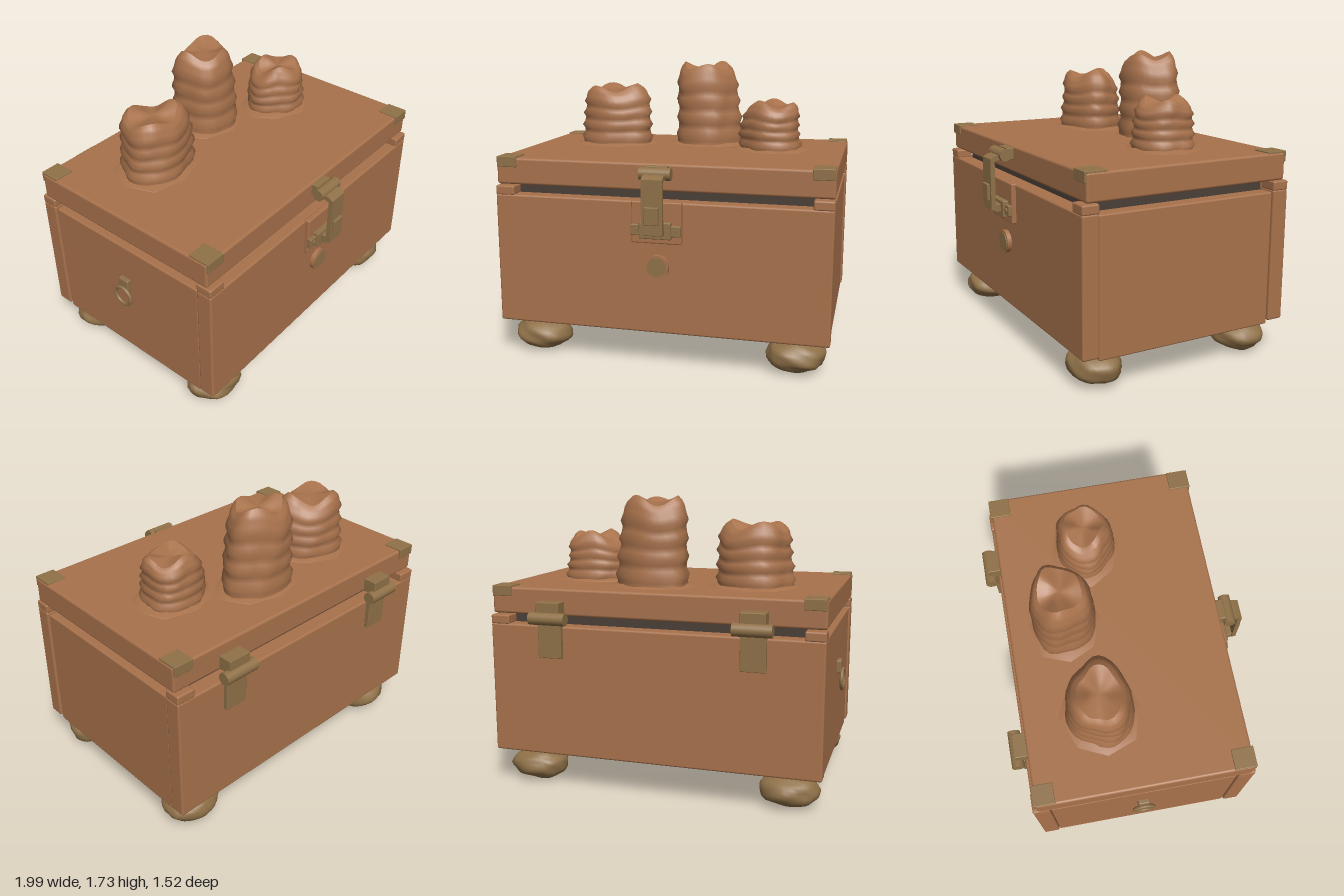
import * as THREE from 'three';
import { mergeVertices } from 'three/addons/utils/BufferGeometryUtils.js';
import { RoundedBoxGeometry } from 'three/addons/geometries/RoundedBoxGeometry.js';

const material = (name, color) => {
  const m = new THREE.MeshStandardMaterial({ color });
  m.name = name;
  return m;
};

// Moves every vertex by a rule, then welds seams so the shading stays smooth
function deform(geometry, rule) {
  geometry.deleteAttribute('uv');
  geometry.deleteAttribute('normal');
  const p = geometry.attributes.position, v = new THREE.Vector3();
  for (let i = 0; i < p.count; i++) {
    rule(v.fromBufferAttribute(p, i));
    p.setXYZ(i, v.x, v.y, v.z);
  }
  const welded = mergeVertices(geometry, 1e-4);
  welded.computeVertexNormals();
  return welded;
}

export function createModel() {
  const wood = material('wood', 0xa8724c);
  const brass = material('brass', 0x8f7148);
  const dark = material('dark interior', 0x4a3f37);
  const model = new THREE.Group();
  const CX = 0.015; // middle of the chest

  const add = (name, geometry, mat, x = 0, y = 0, z = 0, parent = model) => {
    const mesh = new THREE.Mesh(geometry, mat);
    mesh.name = name;
    mesh.position.set(x, y, z);
    parent.add(mesh);
    return mesh;
  };
  // Softly bevelled box given by its limits
  const box = (name, mat, x0, x1, y0, y1, z0, z1, r = 0.006, parent = model) =>
    add(name, new RoundedBoxGeometry(x1 - x0, y1 - y0, z1 - z0, 2, r), mat,
      (x0 + x1) / 2, (y0 + y1) / 2, (z0 + z1) / 2, parent);
  const barrel = (name, mat, r, length, x, y, z, axis, parent = model) => {
    const g = new THREE.CylinderGeometry(r, r, length, 24);
    if (axis === 'x') g.rotateZ(Math.PI / 2);
    if (axis === 'z') g.rotateX(Math.PI / 2);
    return add(name, g, mat, x, y, z, parent);
  };

  // Chest body
  box('frontPanel', wood, -0.965, 0.995, 0.22, 0.995, 0.53, 0.63, 0.012);
  box('backPanel', wood, -0.965, 0.995, 0.22, 0.995, -0.68, -0.58, 0.012);
  box('leftPanel', wood, 0.89, 0.985, 0.2, 0.985, -0.578, 0.528, 0.01);
  box('rightPanel', wood, -0.955, -0.86, 0.2, 0.985, -0.578, 0.528, 0.01);
  box('basePlate', wood, -0.88, 0.91, 0.183, 0.26, -0.578, 0.528, 0.01);
  box('darkRecess', dark, -0.87, 0.9, 0.9, 1.045, -0.565, 0.52);

  // Lid
  box('lid', wood, -0.965, 0.995, 1.05, 1.207, -0.65, 0.605, 0.015);

  for (const sx of [-1, 1]) {
    for (const front of [true, false]) {
      // Corner blocks under the lid
      const edge = CX + sx * 0.98, inner = CX + sx * 0.865;
      const [x0, x1] = [Math.min(edge, inner), Math.max(edge, inner)];
      box('cornerBlock', wood, x0, x1, 0.99, 1.045, front ? 0.53 : -0.68, front ? 0.63 : -0.58, 0.01);

      // Brass lid corners: a top plate and a lip folded over the edge
      const bx = CX + sx * 0.915;
      const z0 = front ? 0.485 : -0.66, z1 = front ? 0.614 : -0.535;
      box('lidCornerTop', brass, bx - 0.06, bx + 0.06, 1.2, 1.215, z0, z1, 0.004);
      box('lidCornerLip', brass, bx - 0.06, bx + 0.06, 1.153, 1.215,
        front ? 0.6 : -0.66, front ? 0.614 : -0.645, 0.004);

      // Pebble feet
      const seed = sx * 1.3 + (front ? 0 : 2.1);
      const foot = deform(new THREE.SphereGeometry(1, 28, 18), (v) => {
        const k = 1 + 0.045 * Math.sin(4 * v.x + seed) * Math.cos(5 * v.z - seed)
          + 0.03 * Math.sin(7 * v.y + 5 * v.x + seed) + 0.015 * Math.sin(11 * v.z + 9 * v.y);
        const flat = Math.sign(v.y) * Math.pow(Math.abs(v.y), 0.9);
        v.set(v.x * k * 0.172, flat * k * 0.094, v.z * k * 0.147);
      });
      add('foot', foot, brass, CX + sx * 0.778, 0.103, front ? 0.46 : -0.505);
    }

    // Back hinges
    const hinge = new THREE.Group();
    hinge.name = 'hinge';
    hinge.position.x = CX + sx * 0.595;
    model.add(hinge);
    barrel('hingeBarrel', brass, 0.037, 0.22, 0, 1.043, -0.722, 'x', hinge);
    box('hingeUpperLeaf', brass, -0.072, 0.072, 1.055, 1.137, -0.73, -0.645, 0.004, hinge);
    box('hingeLowerLeaf', brass, -0.072, 0.072, 0.81, 1.03, -0.706, -0.678, 0.004, hinge);
  }

  // Front latch
  const latch = new THREE.Group();
  latch.name = 'latch';
  latch.position.x = CX;
  model.add(latch);
  box('latchBackPlate', wood, -0.145, 0.145, 0.76, 1.0, 0.62, 0.657, 0.008, latch);
  box('latchMount', brass, -0.062, 0.062, 1.125, 1.198, 0.6, 0.645, 0.005, latch);
  barrel('latchBarrel', brass, 0.035, 0.18, 0, 1.16, 0.665, 'x', latch);
  // Bent strap
  const strap = new THREE.Shape([[0.68, 1.165], [0.72, 1.155], [0.749, 1.14], [0.749, 0.835],
    [0.722, 0.835], [0.722, 1.125], [0.68, 1.135]].map(([z, y]) => new THREE.Vector2(-z, y)));
  const strapGeo = new THREE.ExtrudeGeometry(strap, { depth: 0.12, bevelEnabled: false });
  strapGeo.rotateY(Math.PI / 2);
  add('latchStrap', strapGeo, brass, -0.06, 0, 0, latch);
  box('latchButton', brass, -0.04, 0.04, 0.89, 0.99, 0.74, 0.765, 0.004, latch);
  box('latchCatch', brass, -0.092, 0.092, 0.793, 0.89, 0.65, 0.69, 0.006, latch);
  box('latchCatchBlock', brass, -0.055, 0.055, 0.82, 0.87, 0.68, 0.725, 0.004, latch);
  for (const s of [-1, 1]) {
    box('latchEar', brass, s * 0.11 - 0.035, s * 0.11 + 0.035, 0.808, 0.872, 0.65, 0.678, 0.006, latch);
    barrel('latchRivet', brass, 0.014, 0.012, s * 0.112, 0.84, 0.68, 'z', latch);
  }

  // Round lock plate
  barrel('lockRim', wood, 0.069, 0.03, CX, 0.622, 0.642, 'z');
  barrel('lockFace', brass, 0.056, 0.034, CX, 0.622, 0.645, 'z');

  // Ring pull on the right side
  box('ringBracket', brass, -0.982, -0.945, 0.68, 0.76, -0.062, 0.012, 0.008);
  const ring = add('ringPull', new THREE.TorusGeometry(0.06, 0.011, 10, 32), brass, -0.988, 0.642, -0.025);
  ring.rotation.y = Math.PI / 2;

  // Ridged stumps growing from the lid: rows of [height share, radius share]
  const profile = [[0, 1.0], [0.06, 0.98], [0.13, 1.03], [0.2, 0.95], [0.27, 0.94], [0.34, 1.01],
    [0.41, 0.94], [0.48, 0.91], [0.55, 0.98], [0.62, 0.91], [0.69, 0.88], [0.76, 0.94],
    [0.83, 0.87], [0.9, 0.83], [0.95, 0.77], [1, 0.65]];
  const stump = (x, z, rx, rz, height, skirtX, skirtZ, seed) => {
    const group = new THREE.Group();
    group.name = 'stump';
    group.position.set(x, 1.205, z);
    model.add(group);
    const rule = (v) => {
      const a = Math.atan2(v.z, v.x), t = v.y;
      const k = 1 + 0.05 * Math.sin(3 * a + seed) + 0.03 * Math.sin(5 * a - seed * 2 + t * 2)
        + 0.015 * Math.sin(8 * a + t * 9 + seed);
      const sway = 0.02 * Math.sin(t * 3 + seed) * t;
      const lift = t * t * 0.025 * Math.sin(3 * a + seed * 1.7) * Math.min(1, Math.hypot(v.x, v.z) * 1.5)
        + 0.008 * Math.sin(2 * a + seed) * t;
      v.set(v.x * k * rx + sway, t * height + lift, v.z * k * rz);
    };
    const lathe = (points) => new THREE.LatheGeometry(points.map(([y, r]) => new THREE.Vector2(r, y)), 32);
    add('stumpTrunk', deform(lathe(profile), rule), wood, 0, 0, 0, group);
    add('stumpTop', deform(lathe([[1, 0.65], [0.97, 0.35], [0.96, 0]]), rule), wood, 0, 0, 0, group);
    // Low eight-sided skirt
    const skirt = new THREE.LatheGeometry([[1, 0], [0.98, 0.008], [0.75, 0.03]]
      .map(([r, y]) => new THREE.Vector2(r, y)), 8);
    add('stumpSkirt', deform(skirt, (v) => {
      const k = 1 + 0.05 * Math.sin(3 * Math.atan2(v.z, v.x) + seed);
      v.set(v.x * k * skirtX, v.y * 0.6, v.z * k * skirtZ);
    }), wood, 0, 0, 0, group);
  };
  stump(-0.48, -0.2, 0.228, 0.19, 0.36, 0.28, 0.235, 0.6);
  stump(0.1, -0.32, 0.212, 0.185, 0.5, 0.27, 0.215, 2.4);
  stump(0.55, -0.115, 0.19, 0.172, 0.28, 0.25, 0.21, 4.1);

  return model;
}
